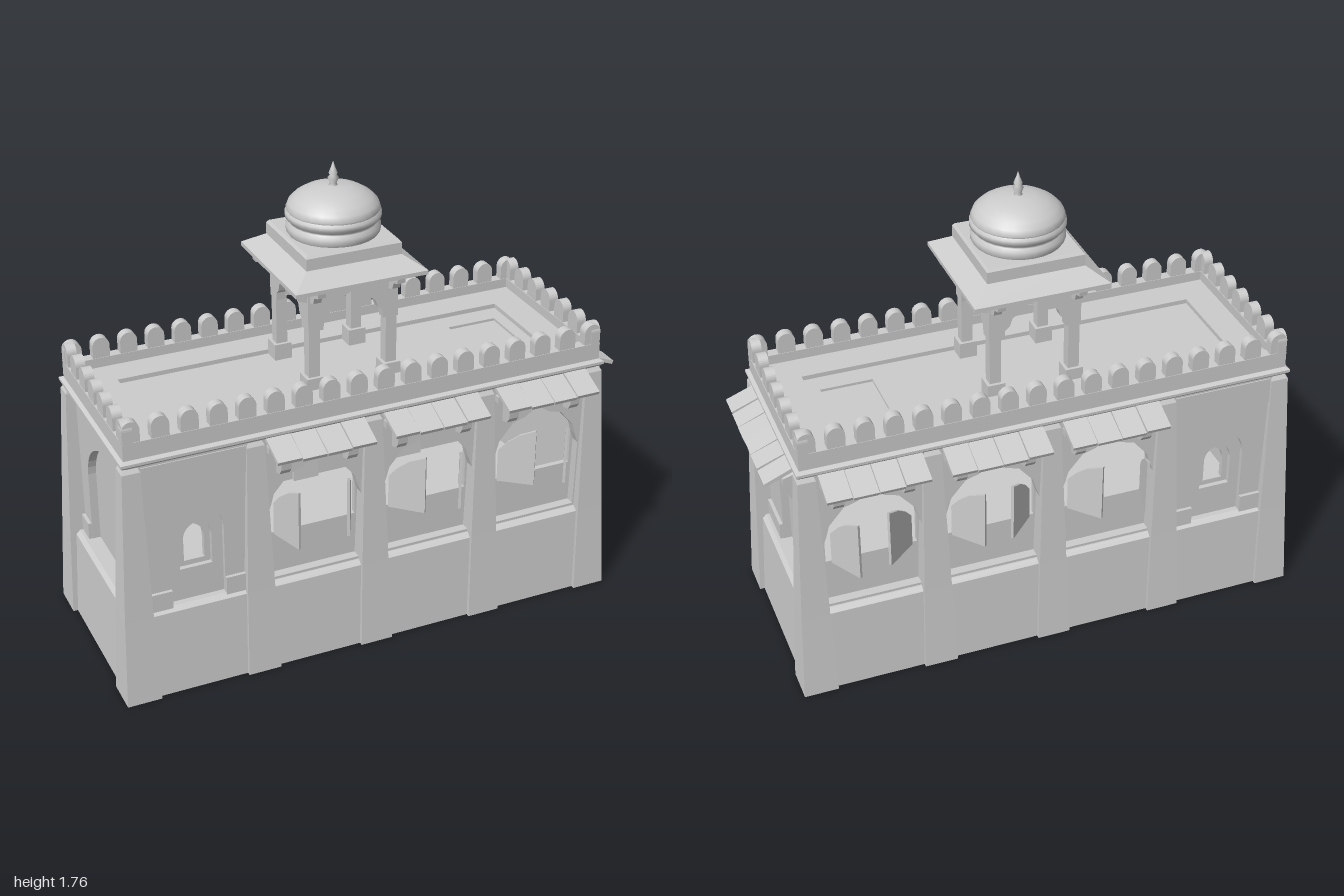
import * as THREE from 'three';

const stone = new THREE.MeshStandardMaterial({ color: 0xcccccc, side: THREE.DoubleSide });
stone.name = 'stone';

function add(group, name, geometry) {
  const mesh = new THREE.Mesh(geometry.index ? geometry.toNonIndexed() : geometry, stone);
  mesh.name = name;
  group.add(mesh);
  return mesh;
}

// Box given by its limits
function box(x0, x1, y0, y1, z0, z1) {
  return new THREE.BoxGeometry(x1 - x0, y1 - y0, z1 - z0)
    .translate((x0 + x1) / 2, (y0 + y1) / 2, (z0 + z1) / 2);
}

// Rectangular rings [y, x0, x1, z0, z1] joined upwards
function loft(rings, top = true, bottom = true) {
  const pos = [];
  const corners = rings.map(([y, x0, x1, z0, z1]) => [[x0, y, z1], [x1, y, z1], [x1, y, z0], [x0, y, z0]]);
  const quad = (a, b, c, d) => pos.push(...a, ...b, ...c, ...a, ...c, ...d);
  for (let k = 0; k < corners.length - 1; k++) {
    for (let i = 0; i < 4; i++) {
      const j = (i + 1) % 4;
      quad(corners[k][i], corners[k][j], corners[k + 1][j], corners[k + 1][i]);
    }
  }
  if (top) quad(...corners[corners.length - 1]);
  if (bottom) quad(...[...corners[0]].reverse());
  const g = new THREE.BufferGeometry();
  g.setAttribute('position', new THREE.Float32BufferAttribute(pos, 3));
  g.computeVertexNormals();
  return g;
}

const poly = (pts) => new THREE.Shape(pts.map((p) => new THREE.Vector2(...p)));
const rect = (x0, x1, y0, y1) => poly([[x0, y0], [x1, y0], [x1, y1], [x0, y1]]);

function pointedArch(cx, hw, y0, spring, apex) {
  const s = new THREE.Shape();
  const mid = spring + (apex - spring) * 0.7;
  s.moveTo(cx - hw, y0).lineTo(cx + hw, y0).lineTo(cx + hw, spring);
  s.quadraticCurveTo(cx + hw * 0.95, mid, cx, apex);
  s.quadraticCurveTo(cx - hw * 0.95, mid, cx - hw, spring);
  return s;
}

// Right half of the profile, bottom to apex, mirrored around cx
function cuspedArch(cx, half) {
  const right = half.map(([x, y]) => [cx + x, y]);
  const left = half.slice(0, -1).reverse().map(([x, y]) => [cx - x, y]);
  return poly([...right, ...left]);
}

function plate(shape, z0, z1, holes = []) {
  shape.holes.push(...holes);
  return new THREE.ExtrudeGeometry(shape, { depth: z1 - z0, bevelEnabled: false, curveSegments: 8 })
    .translate(0, 0, z0);
}

// Horizontal plate with holes
const slab = (shape, y0, y1, holes) => plate(shape, 0, y1 - y0, holes).rotateX(-Math.PI / 2).translate(0, y0, 0);

// Profile in (out, y), given a width along x
function bracket(profile, x, width, z) {
  return plate(poly(profile), -width / 2, width / 2).rotateY(-Math.PI / 2).translate(x, 0, z);
}

function mirrorZ(group) {
  const out = new THREE.Group();
  for (const m of group.children) {
    const g = m.geometry.clone().scale(1, 1, -1);
    for (const a of Object.values(g.attributes)) {
      const n = a.itemSize;
      for (let t = 0; t < a.count; t += 3) {
        for (let k = 0; k < n; k++) {
          const p = (t + 1) * n + k, q = (t + 2) * n + k;
          [a.array[p], a.array[q]] = [a.array[q], a.array[p]];
        }
      }
    }
    add(out, m.name, g);
  }
  return out;
}

// Sloping awning of slightly uneven planks
function awning(group, x0, x1, z, count) {
  const w = (x1 - x0) / count;
  for (let i = 0; i < count; i++) {
    const g = new THREE.BoxGeometry(w - 0.003, 0.014, 0.125).translate(0, 0, 0.0625)
      .rotateX(0.37 + 0.03 * (i % 2)).translate(x0 + w * (i + 0.5), 0.932 - 0.003 * (i % 3), z);
    add(group, 'awningPlank', g);
  }
}

const WALL_BRACKET = [[0, 0.915], [0.07, 0.895], [0.07, 0.865], [0.055, 0.85], [0.05, 0.815], [0.035, 0.795], [0, 0.785]];
const BAYS = [-0.2225, 0.2225, 0.6675];
const WIN = -0.6675;
const BAY_ARCH = [[0.175, 0.355], [0.18, 0.62], [0.166, 0.66], [0.155, 0.7], [0.125, 0.735], [0.1, 0.765], [0.05, 0.78], [0, 0.815]];
const DEG = Math.PI / 180;

// Long wall with three open bays and one small window
function longSide(leftAngles, rightAngles) {
  const g = new THREE.Group();
  add(g, 'archedWall', plate(rect(-0.89, 0.89, 0.34, 0.93), 0.3, 0.335,
    [...BAYS.map((x) => cuspedArch(x, BAY_ARCH)), pointedArch(WIN, 0.1, 0.345, 0.62, 0.735)]));
  add(g, 'innerWall', plate(rect(-0.89, 0.89, 0.34, 0.93), 0.28, 0.3,
    [...BAYS.map((x) => pointedArch(x, 0.17, 0.52, 0.68, 0.83)), pointedArch(WIN, 0.038, 0.49, 0.58, 0.635)]));
  add(g, 'windowFrame', plate(pointedArch(WIN, 0.1, 0.345, 0.62, 0.735), 0.3, 0.318,
    [pointedArch(WIN, 0.06, 0.47, 0.59, 0.665)]));
  add(g, 'windowBand', box(WIN - 0.19, WIN + 0.19, 0.82, 0.92, 0.33, 0.341));
  for (const s of [-1, 1]) {
    add(g, 'windowLedge', box(WIN + s * 0.145 - 0.045, WIN + s * 0.145 + 0.045, 0.34, 0.41, 0.33, 0.348));
  }
  const leaf = [[0, 0.522], [0.138, 0.522], [0.138, 0.75], [0.08, 0.725], [0.035, 0.69], [0, 0.65]];
  BAYS.forEach((x, i) => {
    awning(g, x - 0.187, x + 0.187, 0.335, 4);
    add(g, 'awningBeam', box(x - 0.18, x + 0.18, 0.875, 0.9, 0.33, 0.36));
    for (const s of [-1, 1]) {
      add(g, 'awningBracket', bracket(WALL_BRACKET, x + s * 0.127, 0.038, 0.333));
      const a = (s < 0 ? leftAngles : rightAngles)[i] * DEG;
      add(g, 'shutter', plate(poly(leaf), -0.005, 0.005)
        .rotateY(s < 0 ? -a : a - Math.PI).translate(x + s * 0.145, 0, 0.312));
    }
  });
  return g;
}

// Short end wall with a blind arch
function endWall(hw, spring, apex, withAwning) {
  const g = new THREE.Group();
  const niche = () => pointedArch(0, hw, 0.345, spring, apex);
  add(g, 'endWall', plate(rect(-0.3, 0.3, 0.34, 0.93), 0.86, 0.89, [niche()]));
  add(g, 'nichePanel', box(-0.3, 0.3, 0.34, 0.93, 0.835, 0.86));
  for (const s of [-1, 1]) {
    const a = s * (hw + 0.002), b = s * 0.27;
    add(g, 'endLedge', box(Math.min(a, b), Math.max(a, b), 0.34, 0.41, 0.88, 0.903));
  }
  if (withAwning) {
    awning(g, -0.27, 0.27, 0.905, 6);
    add(g, 'awningBeam', box(-0.27, 0.27, 0.875, 0.9, 0.885, 0.92));
    for (let i = -2; i <= 2; i++) add(g, 'awningBracket', bracket(WALL_BRACKET, i * 0.129, 0.038, 0.888));
  }
  return g;
}

function chhatri() {
  const g = new THREE.Group();
  const half = [[0.115, 1.21], [0.112, 1.24], [0.095, 1.255], [0.085, 1.285], [0.055, 1.305], [0.035, 1.325], [0, 1.34]];
  const left = half.slice(0, -1).map(([x, y]) => [-x, y]).reverse();
  const outline = [[0.172, 1.21], [0.172, 1.43], [-0.172, 1.43], [-0.172, 1.21], ...left.reverse(), ...[...half].reverse()];
  const prop = [[0, 1.405], [0.075, 1.395], [0.07, 1.365], [0.04, 1.355], [0.03, 1.33], [0, 1.32]];
  for (let i = 0; i < 4; i++) {
    const side = new THREE.Group();
    side.name = 'pavilionSide';
    add(side, 'pavilionArch', plate(poly(outline), 0.138, 0.172));
    add(side, 'column', box(0.127, 0.169, 0.96, 1.22, 0.127, 0.169));
    add(side, 'columnBase', box(0.115, 0.181, 0.96, 1.03, 0.115, 0.181));
    for (const x of [-0.15, 0.15]) add(side, 'eaveBracket', bracket(prop, x, 0.03, 0.17));
    side.rotation.y = i * Math.PI / 2;
    g.add(side);
  }
  const sq = (y, h) => [y, -h, h, -h, h];
  add(g, 'eaves', loft([sq(1.42, 0.16), sq(1.385, 0.25), sq(1.4, 0.25), sq(1.45, 0.175)]));
  add(g, 'domeBase', loft([sq(1.4, 0.18), sq(1.49, 0.18), sq(1.5, 0.172)]));
  const lathe = (pts, n) => new THREE.LatheGeometry(pts.map((p) => new THREE.Vector2(...p)), n);
  add(g, 'domeDrum', lathe([[0.158, 1.495], [0.167, 1.51], [0.167, 1.53], [0.156, 1.54], [0.156, 1.547], [0.17, 1.56], [0.17, 1.575], [0.16, 1.585]], 28));
  add(g, 'dome', lathe([[0.16, 1.578], [0.166, 1.59], [0.158, 1.61], [0.138, 1.63], [0.105, 1.65], [0.06, 1.664], [0, 1.669]], 28));
  add(g, 'finial', lathe([[0.02, 1.66], [0.012, 1.675], [0.02, 1.695], [0.012, 1.705], [0.016, 1.712], [0.007, 1.735], [0, 1.757]], 12));
  return g;
}

export function createModel() {
  const model = new THREE.Group();
  model.name = 'gatehouse';
  const body = new THREE.Group();
  body.name = 'building';
  body.position.x = -0.0325;
  model.add(body);
  const part = (name, g) => { g.name = name; body.add(g); return g; };

  // Hollow plinth, open underneath, carrying the floor
  add(body, 'plinth', loft([[0, -0.95, 0.95, -0.375, 0.375], [0.33, -0.93, 0.93, -0.358, 0.358], [0.345, -0.915, 0.915, -0.34, 0.34]], true, false));

  // Tapered buttresses
  for (const s of [-1, 1]) {
    const z = (out, inn) => [Math.min(s * out, s * inn), Math.max(s * out, s * inn)];
    for (const c of [-0.445, 0, 0.445]) {
      add(body, 'buttress', loft([[0, 0.0625, 0.39, 0.257], [0.34, 0.052, 0.37, 0.262], [0.91, 0.033, 0.346, 0.28], [0.925, 0.026, 0.337, 0.285]]
        .map(([y, h, o, i]) => [y, c - h, c + h, ...z(o, i)]), true, false));
    }
    for (const t of [-1, 1]) {
      const x = (out, inn) => [Math.min(t * out, t * inn), Math.max(t * out, t * inn)];
      add(body, 'cornerButtress', loft([[0, 0.9675, 0.84, 0.39, 0.257], [0.34, 0.953, 0.848, 0.37, 0.267], [0.91, 0.925, 0.86, 0.346, 0.285], [0.925, 0.917, 0.865, 0.337, 0.29]]
        .map(([y, xo, xi, zo, zi]) => [y, ...x(xo, xi), ...z(zo, zi)]), true, false));
    }
  }

  // Walls
  part('frontWall', longSide([73, 43, 38], [64, 62, 58]));
  part('backWall', mirrorZ(longSide([75, 45, 40], [48, 50, 60])));
  part('rightEnd', endWall(0.1, 0.62, 0.735, true)).rotation.y = Math.PI / 2;
  part('leftEnd', endWall(0.19, 0.62, 0.81, false)).rotation.y = -Math.PI / 2;

  // Cornice and roof deck with sunken panel and hatch
  add(body, 'corniceBase', box(-0.905, 0.905, 0.912, 0.935, -0.337, 0.337));
  add(body, 'cornice', loft([[0.932, -0.92, 0.92, -0.345, 0.345], [0.94, -0.928, 0.928, -0.352, 0.352], [0.95, -0.928, 0.928, -0.352, 0.352], [0.958, -0.915, 0.915, -0.338, 0.338]]));
  add(body, 'roofPanel', slab(rect(-0.9, 0.9, -0.32, 0.32), 0.955, 0.968, [rect(0.52, 0.715, -0.1, 0.1)]));
  add(body, 'roofDeck', slab(rect(-0.9, 0.9, -0.32, 0.32), 0.968, 0.985, [rect(-0.76, 0.76, -0.18, 0.18)]));

  // Parapet with rounded merlons
  add(body, 'parapet', slab(rect(-0.914, 0.914, -0.337, 0.337), 0.955, 1.022, [rect(-0.874, 0.874, -0.297, 0.297)]));
  const merlon = (w) => {
    const s = new THREE.Shape();
    s.moveTo(-w, 1.02).lineTo(w, 1.02).lineTo(w, 1.1 - w);
    s.absarc(0, 1.1 - w, w, 0, Math.PI, false);
    return plate(s, -0.018, 0.018);
  };
  for (const s of [-1, 1]) {
    for (let i = 0; i < 18; i++) add(body, 'merlon', merlon(0.032).translate(-0.882 + i * 0.10376, 0, s * 0.317));
    for (let i = -3; i <= 3; i++) add(body, 'endMerlon', merlon(0.033).rotateY(Math.PI / 2).translate(s * 0.894, 0, i * 0.1015));
  }

  part('roofPavilion', chhatri());
  return model;
}
